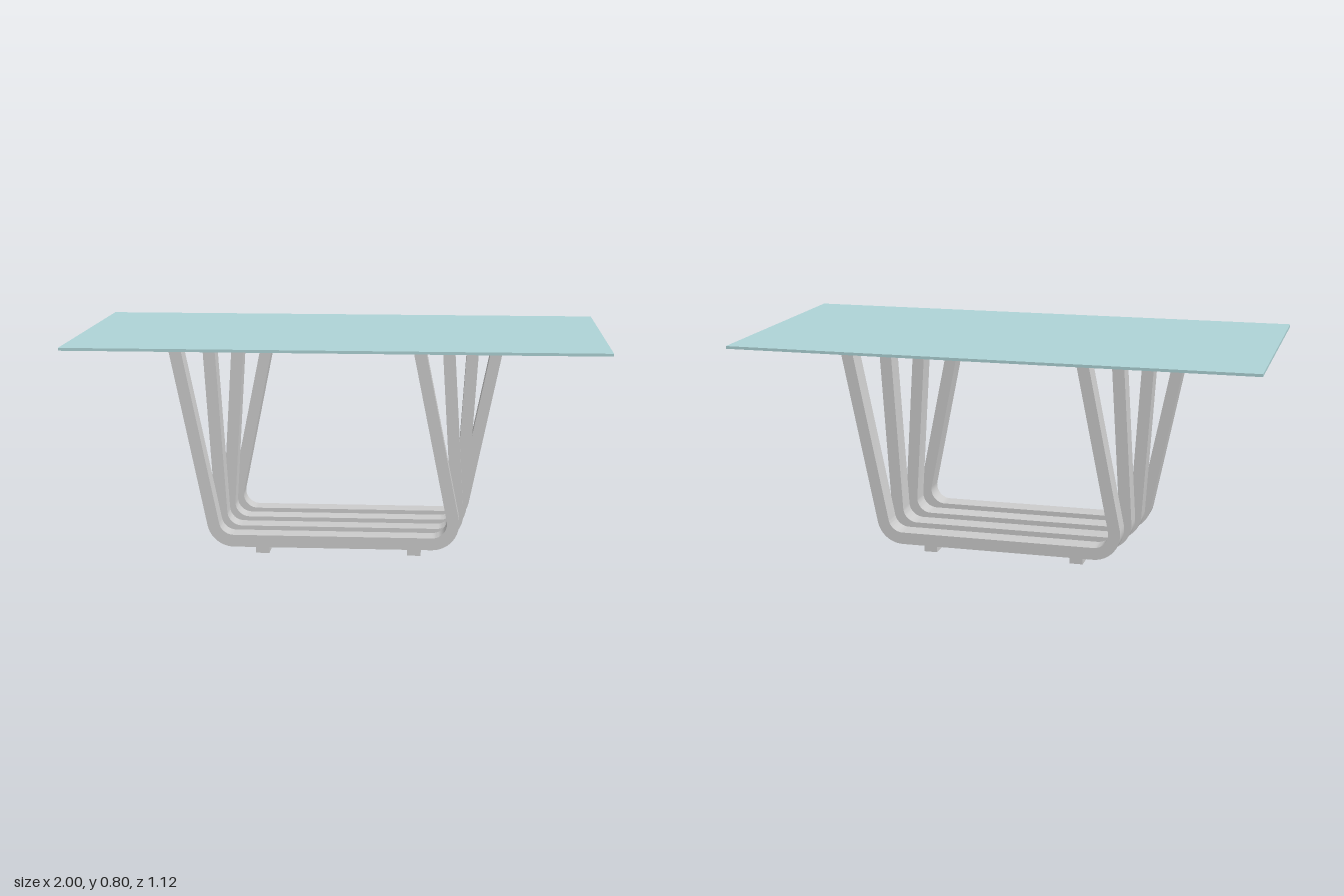
import * as THREE from 'three';
import { toCreasedNormals } from 'three/addons/utils/BufferGeometryUtils.js';

const BOTTOM = 0.025, TOP = 0.775, BAR = 0.045, DEPTH = 0.076, HALF = 0.445;

// Rounds corner b of the path a-b-c with the given radius
function roundCorner(a, b, c, radius, steps = 12) {
  const u = a.clone().sub(b).normalize(), v = c.clone().sub(b).normalize();
  const half = Math.acos(u.dot(v)) / 2;
  const start = b.clone().addScaledVector(u, radius / Math.tan(half));
  const end = b.clone().addScaledVector(v, radius / Math.tan(half));
  const centre = b.clone().addScaledVector(u.add(v).normalize(), radius / Math.sin(half));
  const a0 = start.clone().sub(centre).angle();
  let sweep = end.clone().sub(centre).angle() - a0;
  if (sweep > Math.PI) sweep -= 2 * Math.PI;
  if (sweep < -Math.PI) sweep += 2 * Math.PI;
  return Array.from({ length: steps + 1 }, (_, i) => {
    const t = a0 + sweep * i / steps;
    return new THREE.Vector2(centre.x + radius * Math.cos(t), centre.y + radius * Math.sin(t));
  });
}

// U-shaped frame whose two legs both lean sideways by the same amount
function frameGeometry(lean) {
  const edge = (half, bottom, radius) => {
    const at = (side, y) => new THREE.Vector2(side * half + lean * (y - BOTTOM) / (TOP - BOTTOM), y);
    const [tl, bl, br, tr] = [at(-1, TOP), at(-1, bottom), at(1, bottom), at(1, TOP)];
    return [tl, ...roundCorner(tl, bl, br, radius), ...roundCorner(bl, br, tr, radius), tr];
  };
  const outer = edge(HALF + BAR / 2, BOTTOM, 0.1);
  const inner = edge(HALF - BAR / 2, BOTTOM + BAR, 0.055).reverse();
  const geometry = new THREE.ExtrudeGeometry(new THREE.Shape([...outer, ...inner]),
    { depth: DEPTH, bevelEnabled: false });
  geometry.translate(0, 0, -DEPTH / 2);
  return toCreasedNormals(geometry, 0.5);
}

export function createModel() {
  const table = new THREE.Group();
  table.name = 'table';
  const grey = new THREE.MeshStandardMaterial({ color: 0xcccccc });
  const glass = new THREE.MeshStandardMaterial({ color: 0xaed3d6 });
  const add = (name, geometry, material, x, y, z) => {
    const mesh = new THREE.Mesh(geometry, material);
    mesh.name = name;
    mesh.position.set(x, y, z);
    table.add(mesh);
  };

  // Glass top
  add('tableTop', new THREE.BoxGeometry(1.922, 0.01, 0.96), glass, 0, 0.795, 0);

  // Four frames, fanning from left-leaning at the front to right-leaning at the back
  [-0.152, -0.047, 0.047, 0.152].forEach((lean, i) => {
    const z = 0.2025 - i * 0.135;
    add('frame' + (i + 1), frameGeometry(lean), grey, 0, 0, z);
    // Only the outer frames carry the glass on round pads
    if (i === 0 || i === 3) for (const side of [-1, 1])
      add('glassPad', new THREE.CylinderGeometry(0.022, 0.022, 0.015, 24), grey,
        side * HALF + lean, TOP + 0.0075, z);
  });

  // Cross rails under the frames
  for (const side of [-1, 1])
    add('footRail', new THREE.BoxGeometry(0.05, BOTTOM, 0.46), grey, side * 0.28, BOTTOM / 2, 0);

  // The whole table stands slightly turned
  table.rotation.y = THREE.MathUtils.degToRad(5);
  const model = new THREE.Group();
  model.name = 'diningTable';
  model.add(table);
  return model;
}
